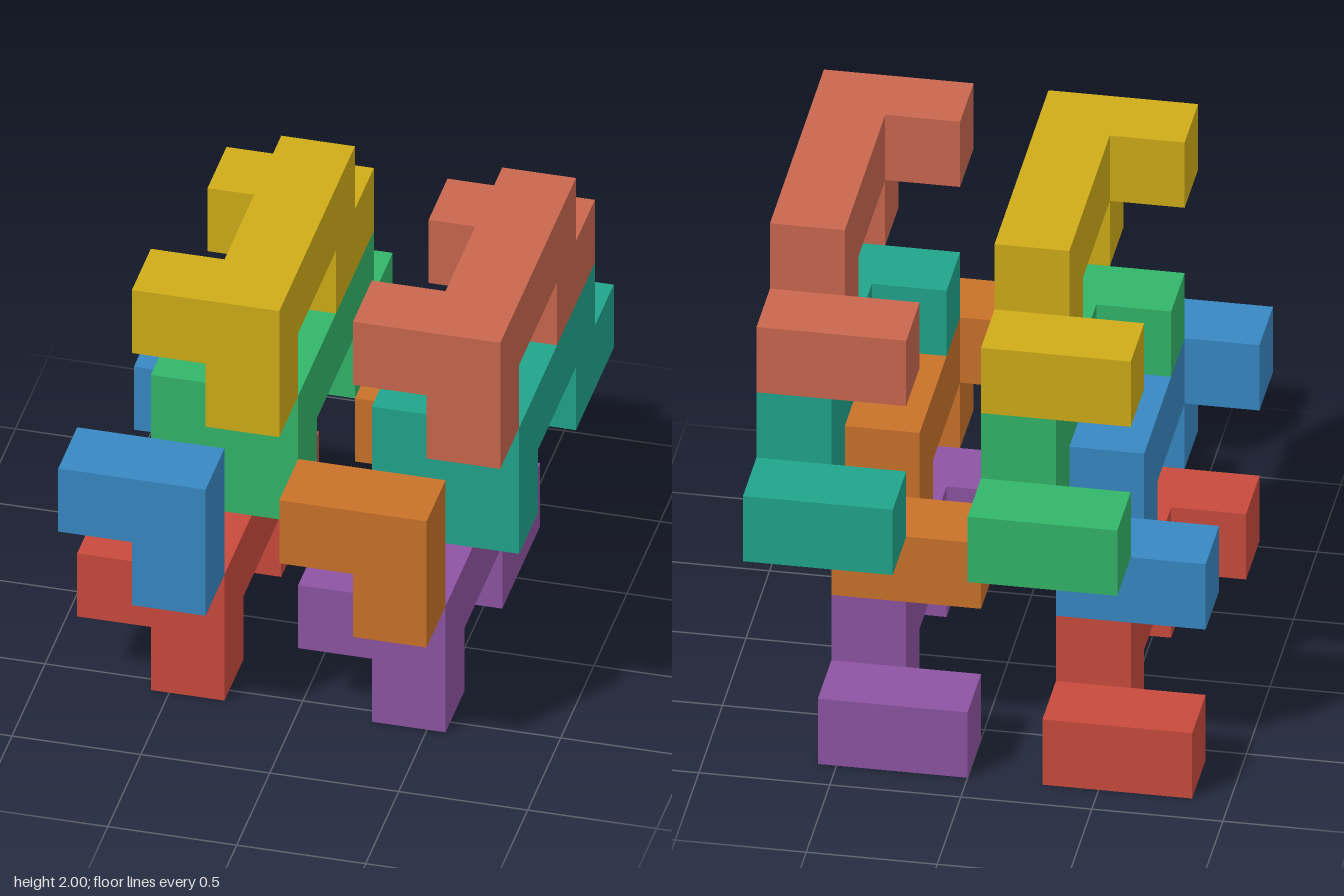
import * as THREE from 'three';
import { mergeGeometries } from 'three/addons/utils/BufferGeometryUtils.js';

const U = 2 / 7; // one grid cell

// One interlocking burr piece, in cell units
function pieceGeometry() {
  // Side profile (z, y): front leg, long bar, stepped back foot
  const profile = new THREE.Shape([
    [2, 0], [2, 2], [-2, 2], [-2, 1], [-3, 1],
    [-3, 0], [-1, 0], [-1, 1], [1, 1], [1, 0],
  ].map(([z, y]) => new THREE.Vector2(z, y)));
  const body = new THREE.ExtrudeGeometry(profile, { depth: 1, bevelEnabled: false });
  body.rotateY(-Math.PI / 2).translate(2, 0, 0);

  // Sideways arms: upper one at the front, lower one at the back
  const frontArm = new THREE.BoxGeometry(1, 1, 1).translate(0.5, 1.5, 1.5).toNonIndexed();
  const backArm = new THREE.BoxGeometry(1, 1, 1).translate(0.5, 0.5, -2.5).toNonIndexed();
  return mergeGeometries([body, frontArm, backArm]).scale(U, U, U);
}

export function createModel() {
  const model = new THREE.Group();
  model.name = 'interlockingBlocks';
  const geometry = pieceGeometry();

  // name, color, cell offset x, y, z
  const pieces = [
    ['redPiece', 0xc94a3d, -3, 0, 0],
    ['purplePiece', 0x8e54a2, 0, 0, 0],
    ['bluePiece', 0x3788c2, -3, 2, 1],
    ['orangePiece', 0xc97229, 0, 2, 1],
    ['greenPiece', 0x33b56a, -2, 3, 0],
    ['tealPiece', 0x21a58c, 1, 3, 0],
    ['yellowPiece', 0xcfac18, -2, 5, 1],
    ['salmonPiece', 0xc9674e, 1, 5, 1],
  ];
  for (const [name, color, x, y, z] of pieces) {
    const mesh = new THREE.Mesh(geometry, new THREE.MeshStandardMaterial({ color }));
    mesh.name = name;
    mesh.position.set(x * U, y * U, z * U);
    model.add(mesh);
  }
  return model;
}
